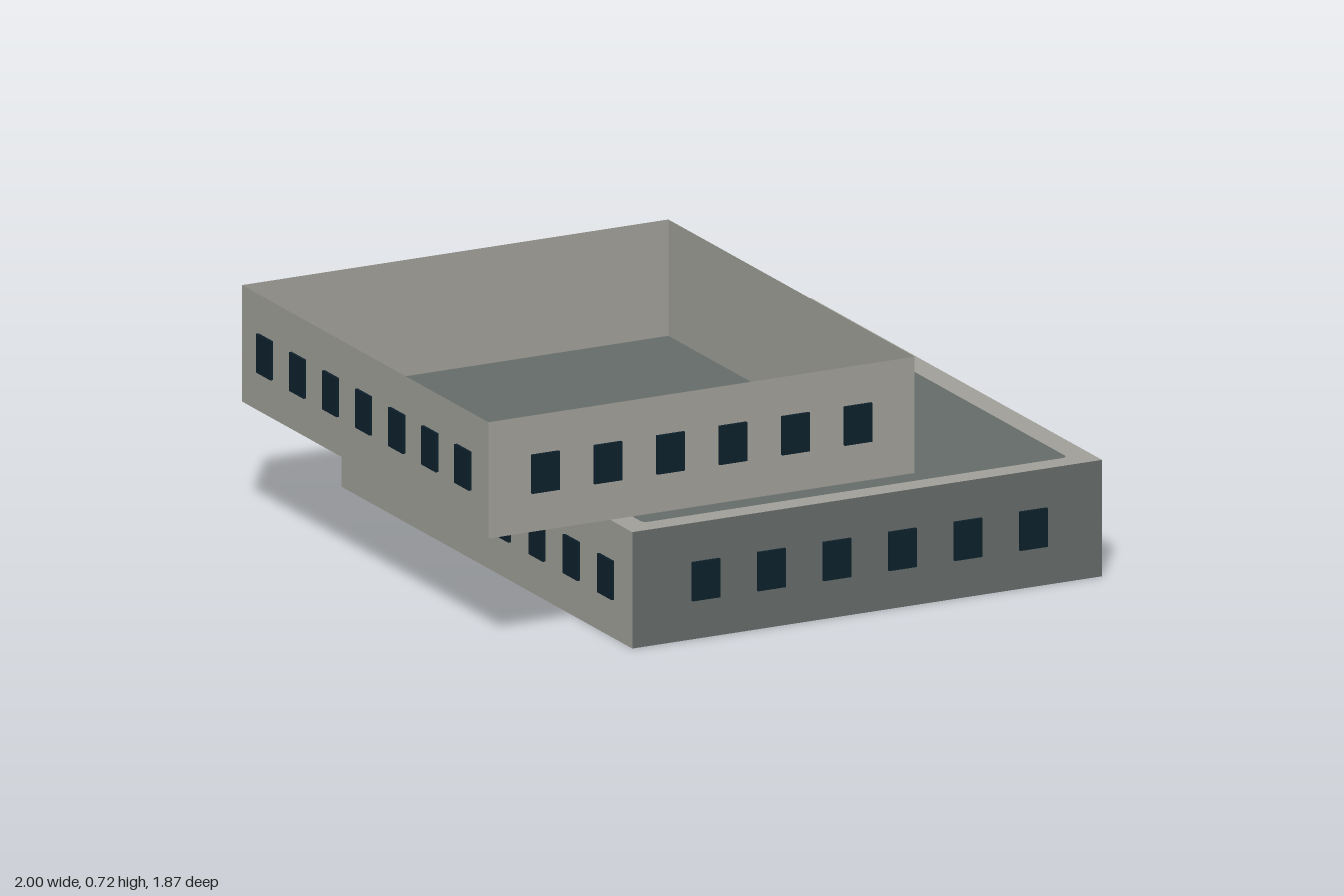
import * as THREE from 'three';

const mat = (name, color, side = THREE.DoubleSide) => {
  const m = new THREE.MeshStandardMaterial({ color, side });
  m.name = name;
  return m;
};

function roundedRect(target, x0, x1, z, r) {
  target.moveTo(x0 + r, -z);
  target.lineTo(x1 - r, -z);
  target.quadraticCurveTo(x1, -z, x1, -z + r);
  target.lineTo(x1, z - r);
  target.quadraticCurveTo(x1, z, x1 - r, z);
  target.lineTo(x0 + r, z);
  target.quadraticCurveTo(x0, z, x0, z - r);
  target.lineTo(x0, -z + r);
  target.quadraticCurveTo(x0, -z, x0 + r, -z);
  return target;
}

export function createModel() {
  const concrete = mat('pale concrete', 0x9f9e98);
  const slate = mat('dark slate', 0x656b69);
  const glass = mat('dark glass', 0x0d202b, THREE.FrontSide);
  const H = 0.36, T = 0.009;
  const model = new THREE.Group();
  model.name = 'building';

  const add = (parent, name, geometry, material) => {
    const mesh = new THREE.Mesh(geometry, material);
    mesh.name = name;
    parent.add(mesh);
    return mesh;
  };

  // One wall with an evenly spaced row of windows on its outer face
  function wall(parent, name, width, material, count, spacing, shift, x, z, turn) {
    const side = new THREE.Group();
    side.name = name;
    side.position.set(x, 0, z);
    side.rotation.y = turn;
    add(side, name + 'Panel', new THREE.PlaneGeometry(width, H), material).position.y = H / 2;
    for (let i = 0; i < count; i++) {
      const pane = add(side, 'window', new THREE.BoxGeometry(0.092, 0.12, T), glass);
      pane.position.set((i - (count - 1) / 2) * spacing + shift, H / 2, T / 2 + 0.0005);
    }
    parent.add(side);
  }

  // Four thin walls of a storey
  function storey(name, y, x0, x1, z, endMaterial, frontSpacing, shift, sideCount, sideSpacing) {
    const g = new THREE.Group();
    g.name = name;
    g.position.y = y;
    const cx = (x0 + x1) / 2, w = x1 - x0;
    wall(g, 'frontWall', w, endMaterial, 6, frontSpacing, shift, cx, z, 0);
    wall(g, 'backWall', w, endMaterial, 6, frontSpacing, -shift, cx, -z, Math.PI);
    wall(g, 'leftWall', 2 * z, concrete, sideCount, sideSpacing, 0, x1, 0, Math.PI / 2);
    wall(g, 'rightWall', 2 * z, concrete, sideCount, sideSpacing, 0, x0, 0, -Math.PI / 2);
    model.add(g);
    return g;
  }

  const lower = storey('lowerStorey', 0, -0.583, 0.987, 0.924, slate, 0.219, 0.006, 8, 0.218);
  const upper = storey('upperStorey', H, -0.99, 0.435, 0.783, concrete, 0.209, -0.002, 7, 0.21);

  // Lower roof: pale border around a dark rounded panel
  const flat = (shape, y) => new THREE.ShapeGeometry(shape, 6).rotateX(-Math.PI / 2).translate(0, y, 0);
  const border = roundedRect(new THREE.Shape(), -0.583, 0.987, 0.924, 0);
  border.holes.push(roundedRect(new THREE.Path(), -0.509, 0.91, 0.853, 0.02));
  add(lower, 'roofBorder', flat(border, H), concrete);
  add(lower, 'roofPanel', flat(roundedRect(new THREE.Shape(), -0.509, 0.91, 0.853, 0.02), H), slate);

  // Floor of the overhanging part of the upper storey
  const floor = new THREE.PlaneGeometry(0.407, 1.566).rotateX(-Math.PI / 2).translate(-0.7865, 0, 0);
  add(upper, 'overhangFloor', floor, slate);

  return model;
}
